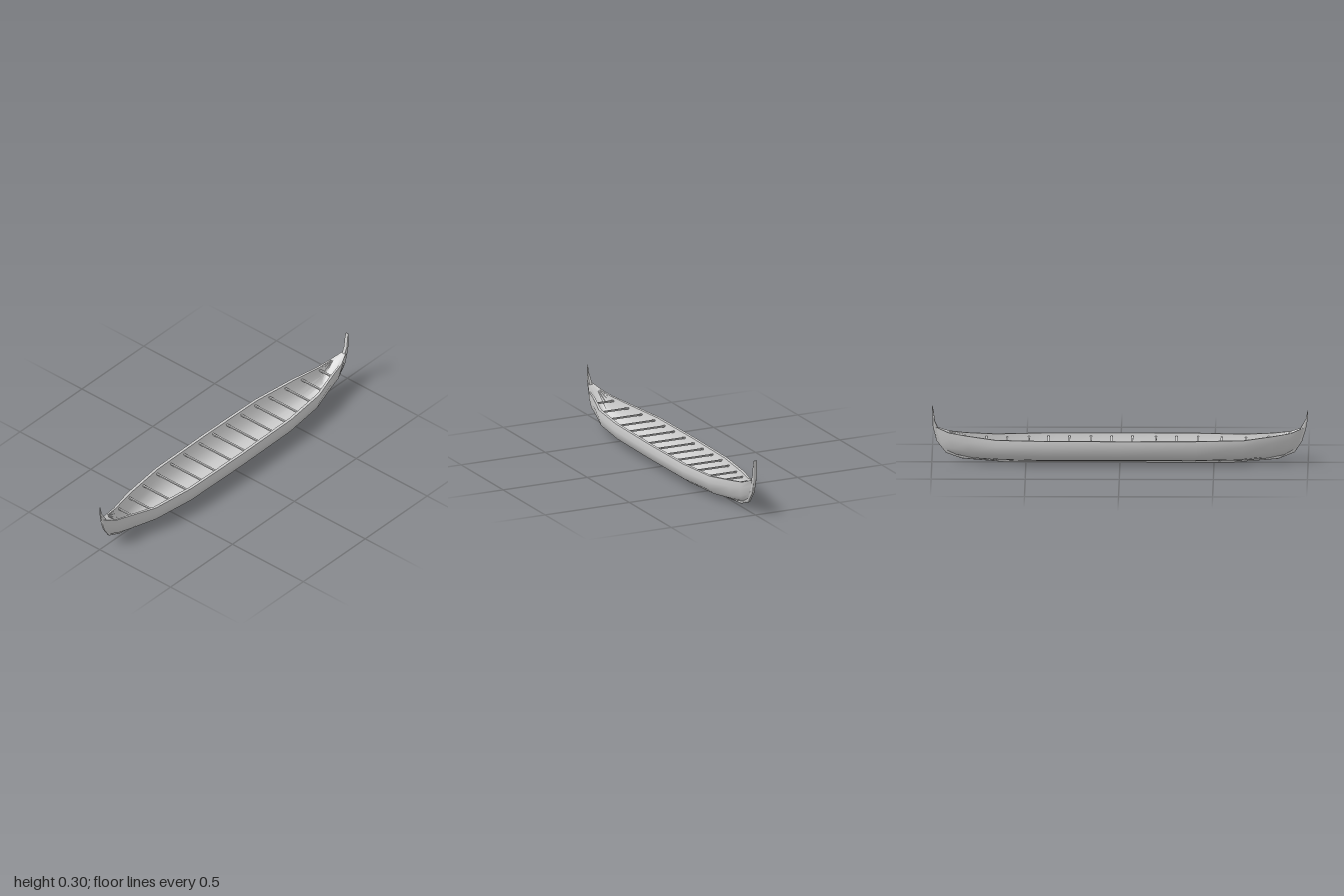
import * as THREE from 'three';
import { toCreasedNormals } from 'three/addons/utils/BufferGeometryUtils.js';

const material = new THREE.MeshStandardMaterial({ color: 0xcccccc, side: THREE.DoubleSide });

// Skin closed rings of [x, y, z], given from the front end to the back end
function loft(rings, crease) {
  const n = rings[0].length, last = (rings.length - 1) * n, index = [];
  for (let i = 0; i < rings.length - 1; i++) {
    for (let j = 0; j < n; j++) {
      const a = i * n + j, b = i * n + (j + 1) % n;
      index.push(a, b, a + n, b, b + n, a + n);
    }
  }
  for (let j = 1; j < n - 1; j++) {
    index.push(0, j + 1, j, last, last + j, last + j + 1);
  }
  const geometry = new THREE.BufferGeometry();
  geometry.setAttribute('position', new THREE.Float32BufferAttribute(rings.flat(2), 3));
  geometry.setIndex(index);
  return toCreasedNormals(geometry, crease);
}

function add(group, name, geometry) {
  const mesh = new THREE.Mesh(geometry, material);
  mesh.name = name;
  group.add(mesh);
  return mesh;
}

// Hull stations from the middle to an end:
// rim z, bottom z, half width, rim y, bottom y, sharpness of the section, inner floor y
const STATIONS = [
  [0, 0, 0.144, 0.135, 0.013, 1, 0.025],
  [0.4, 0.4, 0.139, 0.135, 0.013, 1, 0.025],
  [0.66, 0.64, 0.108, 0.135, 0.016, 1.05, 0.03],
  [0.82, 0.78, 0.06, 0.15, 0.025, 1.15, 0.06],
  [0.91, 0.87, 0.04, 0.163, 0.042, 1.2, 0.16],
  [0.98, 0.935, 0.01, 0.19, 0.07, 1, 0.188],
];

// Half section from rim to keel: share of half width, share of height
const SECTION = [[0.944, 1], [1, 0.71], [0.88, 0.3], [0.63, 0.1], [0.31, 0]];
const BOWL = [1, 0.96, 0.88, 0.74, 0.52, 0.27];
const RIM = 0.016;

// Half a skin, its middle point and the mirrored half
function mirrored(half, middle) {
  return [...half, middle, ...half.map(([x, y, z]) => [-x, y, z]).reverse()];
}

// Outer skin, flat rim and bowl-shaped inner skin, which rises to a deck at the ends
function hullRing([zt, zb, hw, yt, yb, sharp, floor], end) {
  const outer = SECTION.map(([u, v]) => [
    hw * Math.pow(u, sharp),
    yb + (yt - yb) * v,
    end * (zb + (zt - zb) * Math.pow(v, 0.7)),
  ]);
  const w = outer[0][0] - Math.min(RIM, hw * 0.2);
  const inner = BOWL.map((u) => [w * u, floor + (yt - floor) * Math.pow(u, 3), end * zt]);
  return [
    ...mirrored(outer, [0, yb, end * zb]),
    ...mirrored(inner, [0, floor, end * zt]).reverse(),
  ];
}

// Rim half width and height at a given z
function rimAt(z) {
  const d = Math.abs(z);
  const i = STATIONS.findIndex((s) => s[0] >= d);
  const a = STATIONS[i - 1], b = STATIONS[i], t = (d - a[0]) / (b[0] - a[0]);
  return [2, 3].map((k) => a[k] + (b[k] - a[k]) * t);
}

// Keel and stems: outer z, outer y, inner z, inner y, half width
const KEEL = [
  [1, 0.28, 0.997, 0.28, 0.001],
  [0.998, 0.235, 0.988, 0.235, 0.005],
  [0.988, 0.18, 0.962, 0.19, 0.01],
  [0.968, 0.115, 0.94, 0.125, 0.01],
  [0.93, 0.056, 0.9, 0.08, 0.009],
  [0.84, 0.02, 0.83, 0.042, 0.009],
  [0.6, 0, 0.6, 0.02, 0.009],
  [-0.6, 0, -0.6, 0.02, 0.009],
  [-0.84, 0.02, -0.83, 0.042, 0.009],
  [-0.925, 0.05, -0.9, 0.075, 0.009],
  [-0.975, 0.115, -0.945, 0.125, 0.01],
  [-0.995, 0.19, -0.972, 0.195, 0.011],
  [-0.996, 0.22, -0.984, 0.22, 0.0125],
  [-0.997, 0.265, -0.989, 0.265, 0.0125],
  [-1, 0.302, -0.996, 0.302, 0.009],
];

// Rounded keel section: share of half width, share from outer to inner edge
const KEEL_SECTION = [[0.9, 0.15], [0.5, 0], [-0.5, 0], [-0.9, 0.15],
  [-1, 0.5], [-0.8, 1], [0.8, 1], [1, 0.5]];

export function createModel() {
  const group = new THREE.Group();
  group.name = 'canoe';

  // Hull with its inside and end decks
  const rings = [
    ...STATIONS.slice(1).reverse().map((s) => hullRing(s, 1)),
    ...STATIONS.map((s) => hullRing(s, -1)),
  ];
  add(group, 'hull', loft(rings, 0.8));

  // Keel running up into the stem at each end
  const keel = KEEL.map(([zo, yo, zi, yi, w]) => KEEL_SECTION.map(([u, v]) => [
    w * u, yo + (yi - yo) * v, zo + (zi - zo) * v,
  ]));
  add(group, 'keelAndStems', loft(keel, 1));

  // Thwarts across the hull below the rim
  const thwarts = new THREE.Group();
  thwarts.name = 'thwarts';
  group.add(thwarts);
  const places = [-0.825, -0.71, -0.6, -0.485, -0.38, -0.27, -0.155, -0.045,
    0.065, 0.19, 0.3, 0.415, 0.54, 0.67, 0.79];
  for (const z of places) {
    const [hw, y] = rimAt(z);
    const bar = new THREE.BoxGeometry(2 * (hw * 0.9 - 0.008), 0.008, 0.01);
    add(thwarts, 'thwart', bar).position.set(0, y - 0.018, z);
  }
  return group;
}
